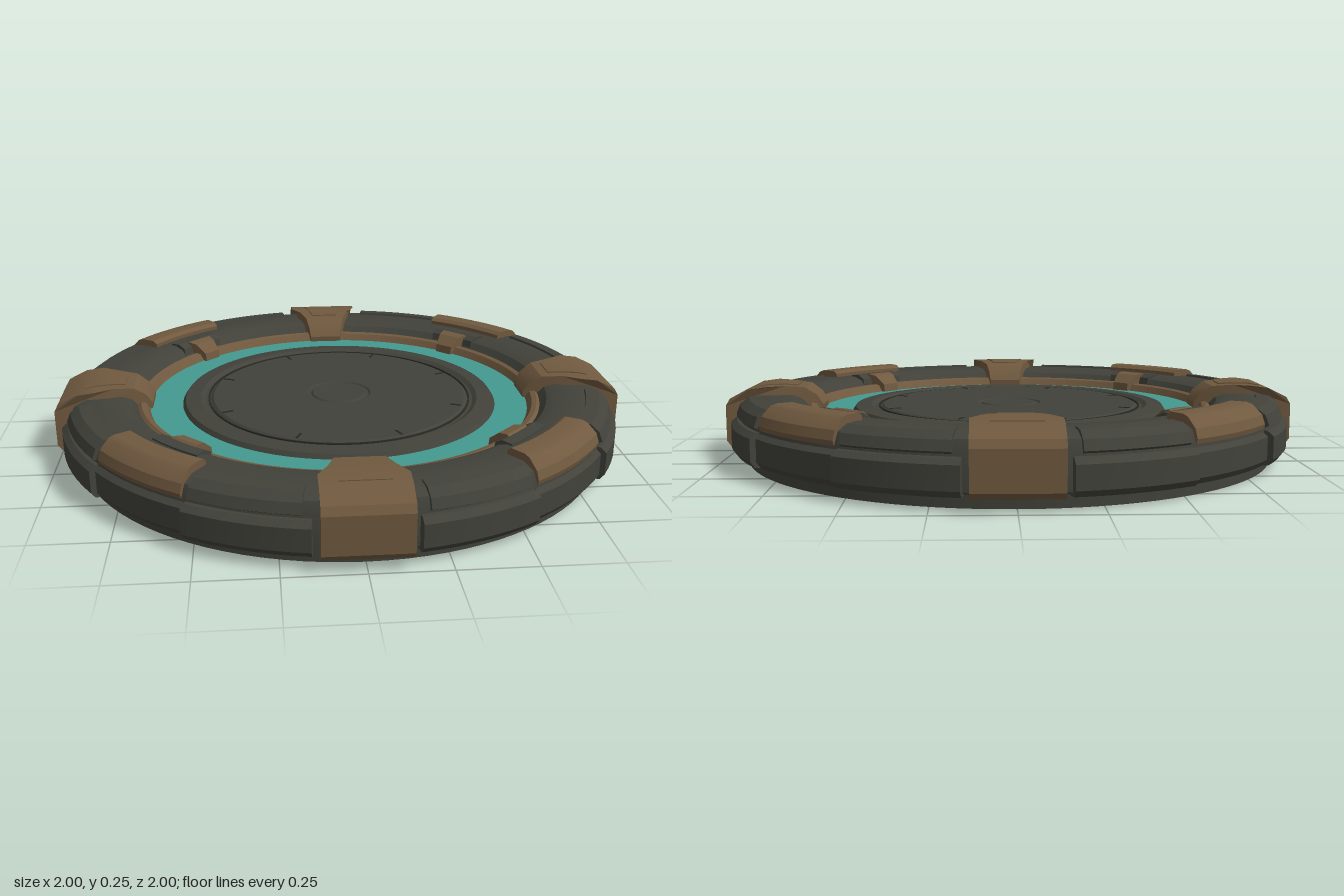
import * as THREE from 'three';
import { toCreasedNormals } from 'three/addons/utils/BufferGeometryUtils.js';

const material = (name, color) => {
  const m = new THREE.MeshStandardMaterial({ color });
  m.name = name;
  return m;
};
const DEG = Math.PI / 180;

const toShape = (pts) => new THREE.Shape(pts.map(([x, y]) => new THREE.Vector2(x, y)));

// Sweeps a closed (radius, height) section around the y axis; angles in degrees, 0 = +z.
function sweep(section, centre = 0, span = 360) {
  const steps = Math.max(2, Math.ceil(span / 3.75));
  const geo = new THREE.ExtrudeGeometry(toShape(section), { depth: 1, steps, bevelEnabled: false });
  const p = geo.attributes.position;
  for (let i = 0; i < p.count; i++) {
    const a = (centre + (p.getZ(i) - 0.5) * span) * DEG;
    const r = p.getX(i);
    p.setXYZ(i, -r * Math.sin(a), p.getY(i), r * Math.cos(a));
  }
  return toCreasedNormals(geo, 0.45);
}

// Radial bracket: a side section along +z whose half width depends on the radius.
function bracket(section, halfWidth) {
  const geo = new THREE.ExtrudeGeometry(toShape(section), { depth: 2, steps: 1, bevelEnabled: false });
  const p = geo.attributes.position;
  for (let i = 0; i < p.count; i++) {
    const r = p.getX(i), y = p.getY(i);
    p.setXYZ(i, -(p.getZ(i) - 1) * halfWidth(r, y), y, r);
  }
  return toCreasedNormals(geo, 0.4);
}

export function createModel() {
  const dark = material('dark metal', 0x42423b);
  const seam = material('seam black', 0x292925);
  const bronze = material('bronze', 0x70593f);
  const teal = material('teal glow', 0x449a91);
  const root = new THREE.Group();
  root.name = 'roundPlatform';

  const add = (name, geo, mat, angle = 0) => {
    const mesh = new THREE.Mesh(geo, mat);
    mesh.name = name;
    mesh.rotation.y = angle * DEG;
    root.add(mesh);
    return mesh;
  };

  // Main ring
  add('outerRing', sweep([
    [0.70, 0.02], [0.73, 0.0], [0.93, 0.0], [0.93, 0.04], [0.955, 0.05], [0.955, 0.165],
    [0.94, 0.2], [0.90, 0.218], [0.78, 0.218], [0.745, 0.205], [0.71, 0.165],
  ]), dark);

  // Bronze inner lip, on both faces
  add('innerLip', sweep([
    [0.675, 0.03], [0.685, 0.012], [0.705, 0.01], [0.72, 0.03],
    [0.725, 0.178], [0.712, 0.188], [0.695, 0.184], [0.68, 0.16],
  ]), bronze);

  // Teal band
  add('glowBand', sweep([[0.55, 0.02], [0.69, 0.02], [0.69, 0.16], [0.55, 0.16]]), teal);

  // Central disc with a grooved border and a small hub ring, same on both faces
  const topLine = [
    [0.565, 0.160], [0.555, 0.175], [0.50, 0.180], [0.485, 0.170], [0.465, 0.170],
    [0.455, 0.178], [0.115, 0.178], [0.110, 0.173], [0.100, 0.173], [0.095, 0.178], [0, 0.178],
  ];
  const bottomLine = topLine.map(([r, y]) => [r, 0.183 - y]).reverse();
  add('centreDisc', sweep([...bottomLine, ...topLine]), dark);
  for (const [name, y] of [['Top', 0.171], ['Bottom', 0.007]]) {
    add('discSeam' + name, sweep([[0.468, y], [0.474, y], [0.474, y + 0.005], [0.468, y + 0.005]]), seam);
  }

  // Short marks around the disc
  for (let i = 0; i < 8; i++) {
    for (const y of [0.1785, 0.0045]) {
      const tick = add('discMark', new THREE.BoxGeometry(0.008, 0.003, 0.04), seam);
      const a = (22.5 + i * 45) * DEG;
      tick.position.set(0.435 * Math.sin(a), y, 0.435 * Math.cos(a));
      tick.rotation.y = a;
    }
  }

  // Section shapes for the repeated armour
  const wall = (r) => [
    [0.92, 0.035], [r - 0.015, 0.04], [r, 0.06], [r, 0.135], [r - 0.02, 0.152], [0.92, 0.155],
  ];
  const upperPlate = [
    [0.87, 0.19], [0.955, 0.16], [0.968, 0.168], [0.955, 0.2], [0.925, 0.222], [0.88, 0.226],
  ];
  const clampSide = [
    [0.67, 0.15], [0.90, 0.10], [0.92, 0.045], [0.985, 0.04], [1.0, 0.06], [1.0, 0.185],
    [0.985, 0.21], [0.92, 0.242], [0.86, 0.25], [0.80, 0.25], [0.73, 0.243], [0.69, 0.215], [0.668, 0.18],
  ];
  const clampWidth = (r) => {
    if (r >= 0.855) return 0.135;
    return r >= 0.79 ? 0.1 : 0.062 + (r - 0.668) * 0.26;
  };
  const clampGeo = bracket(clampSide, clampWidth);
  const crestGeo = bracket(
    [[0.76, 0.24], [0.90, 0.24], [0.90, 0.2475], [0.86, 0.254], [0.80, 0.254], [0.76, 0.25]],
    (r) => 0.05 + (r - 0.76) * 0.2);
  const padSection = [
    [0.83, 0.20], [0.90, 0.16], [0.958, 0.16], [0.962, 0.175], [0.952, 0.205],
    [0.92, 0.236], [0.90, 0.243], [0.845, 0.243], [0.83, 0.232],
  ];
  const nubGeo = bracket(
    [[0.665, 0.155], [0.76, 0.155], [0.765, 0.215], [0.745, 0.228], [0.71, 0.222], [0.67, 0.19]],
    (r) => 0.035 + (r - 0.665) * 0.25);
  const lowerNubGeo = bracket(
    [[0.665, 0.03], [0.675, 0.008], [0.735, 0.0], [0.735, 0.03]], () => 0.035);

  for (let q = 0; q < 4; q++) {
    const turn = q * 90;
    // Large clamps on the four axes
    add('clamp', clampGeo, bronze, turn);
    add('clampCrest', crestGeo, bronze, turn);

    // Diagonal pad, bracket and nub
    add('diagonalPad', sweep(padSection, 45, 23), bronze, turn);
    add('diagonalBracket', sweep([
      [0.725, 0.17], [0.80, 0.20], [0.80, 0.224], [0.76, 0.226], [0.735, 0.212],
    ], 45, 15), dark, turn);
    add('nub', nubGeo, bronze, turn + 45);
    add('lowerNub', lowerNubGeo, bronze, turn + 45);

    // Wall armour: one plate on the diagonal, one either side
    add('diagonalWall', sweep(wall(0.972), 45, 23.4), dark, turn);
    for (const side of [-1, 1]) {
      add('sideWall', sweep(wall(0.988), 45 + side * 24, 23.4), dark, turn);
      add('sideUpperPlate', sweep(upperPlate, 45 + side * 23.5, 21), dark, turn);
    }
  }
  return root;
}
